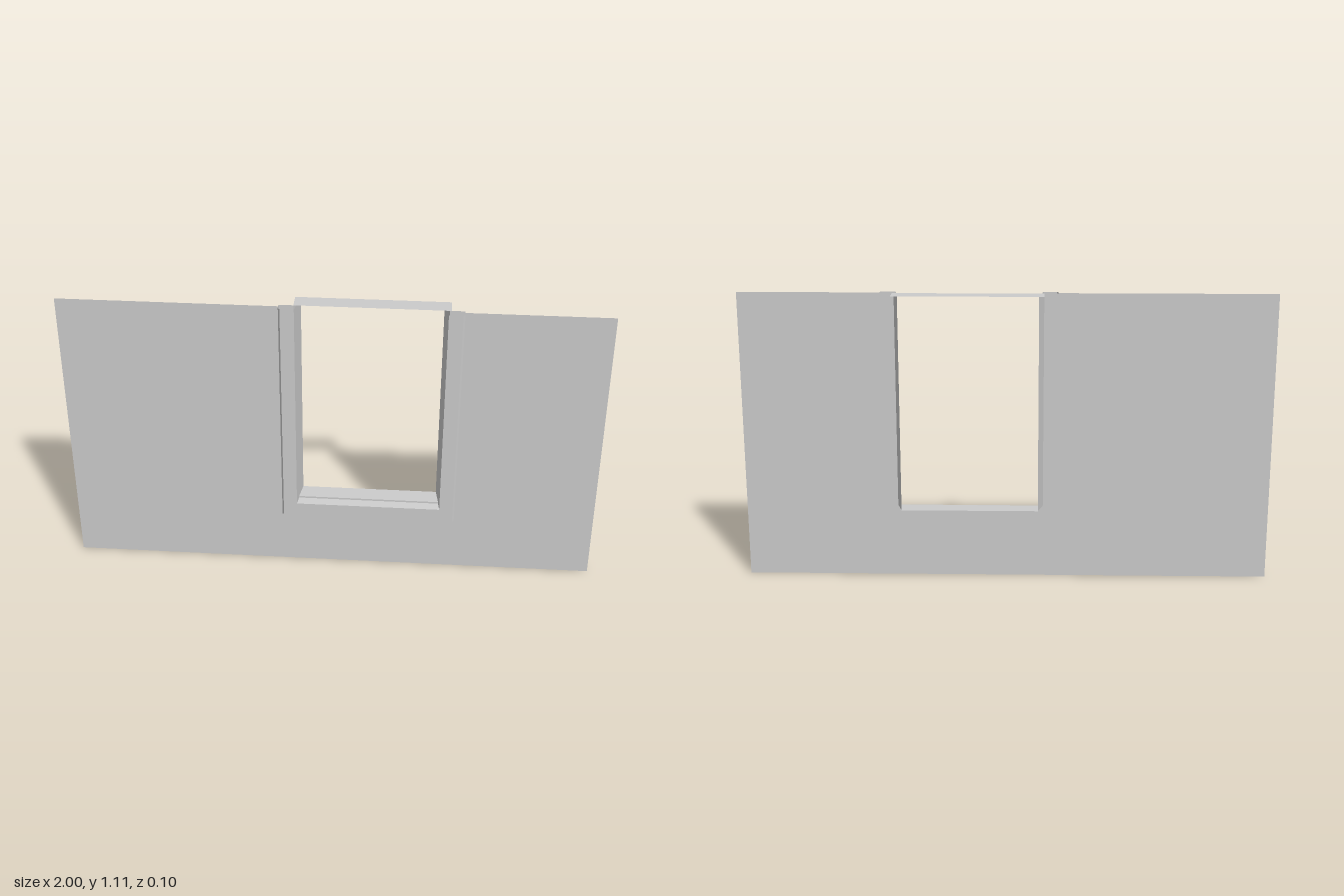
import * as THREE from 'three';

const TOP = 1.108, LEFT = -0.192, RIGHT = 0.47, BOTTOM = 0.219;
const material = new THREE.MeshStandardMaterial({ color: 0xcccccc, side: THREE.DoubleSide, flatShading: true });

function addMesh(group, name, geometry) {
  const mesh = new THREE.Mesh(geometry, material);
  mesh.name = name;
  group.add(mesh);
  return mesh;
}

// Sweeps a closed profile down one side, across the bottom and up the other, with mitred corners.
// Each profile point is [inset at the sides, inset at the bottom, z].
function mitredSurround(profile) {
  const positions = [];
  const rings = profile.map(([side, base, z]) => [
    [LEFT + side, TOP, z],
    [LEFT + side, BOTTOM + base, z],
    [RIGHT - side, BOTTOM + base, z],
    [RIGHT - side, TOP, z],
  ]);
  for (let j = 0; j < rings.length; j++) {
    const a = rings[j], b = rings[(j + 1) % rings.length];
    for (let i = 0; i < 3; i++) {
      positions.push(...a[i], ...a[i + 1], ...b[i + 1], ...a[i], ...b[i + 1], ...b[i]);
    }
  }
  const geometry = new THREE.BufferGeometry();
  geometry.setAttribute('position', new THREE.Float32BufferAttribute(positions, 3));
  geometry.computeVertexNormals();
  return geometry;
}

export function createModel() {
  const model = new THREE.Group();
  model.name = 'windowWall';

  // Thin wall sheet, notched for the window
  const outline = [
    [-1, 0], [1, 0], [1, TOP], [RIGHT, TOP], [RIGHT, BOTTOM], [LEFT, BOTTOM], [LEFT, TOP], [-1, TOP],
  ].map(([x, y]) => new THREE.Vector2(x, y));
  addMesh(model, 'wall', new THREE.ShapeGeometry(new THREE.Shape(outline))).position.z = 0.03;

  // Chamfered casing at the front, running back into the splayed jambs and sill
  addMesh(model, 'casingAndJambs', mitredSurround([
    [0, 0, 0.018],
    [0, 0, 0.042],
    [0.007, 0.007, 0.053],
    [0.058, 0.058, 0.053],
    [0.073, 0.07, -0.05],
    [0.054, 0.069, 0.018],
  ]));

  // Flat head panel across the top of the opening
  const head = addMesh(model, 'headPanel', new THREE.PlaneGeometry(0.561, 0.068));
  head.rotation.x = -Math.PI / 2;
  head.position.set(0.1415, TOP, -0.016);

  return model;
}
